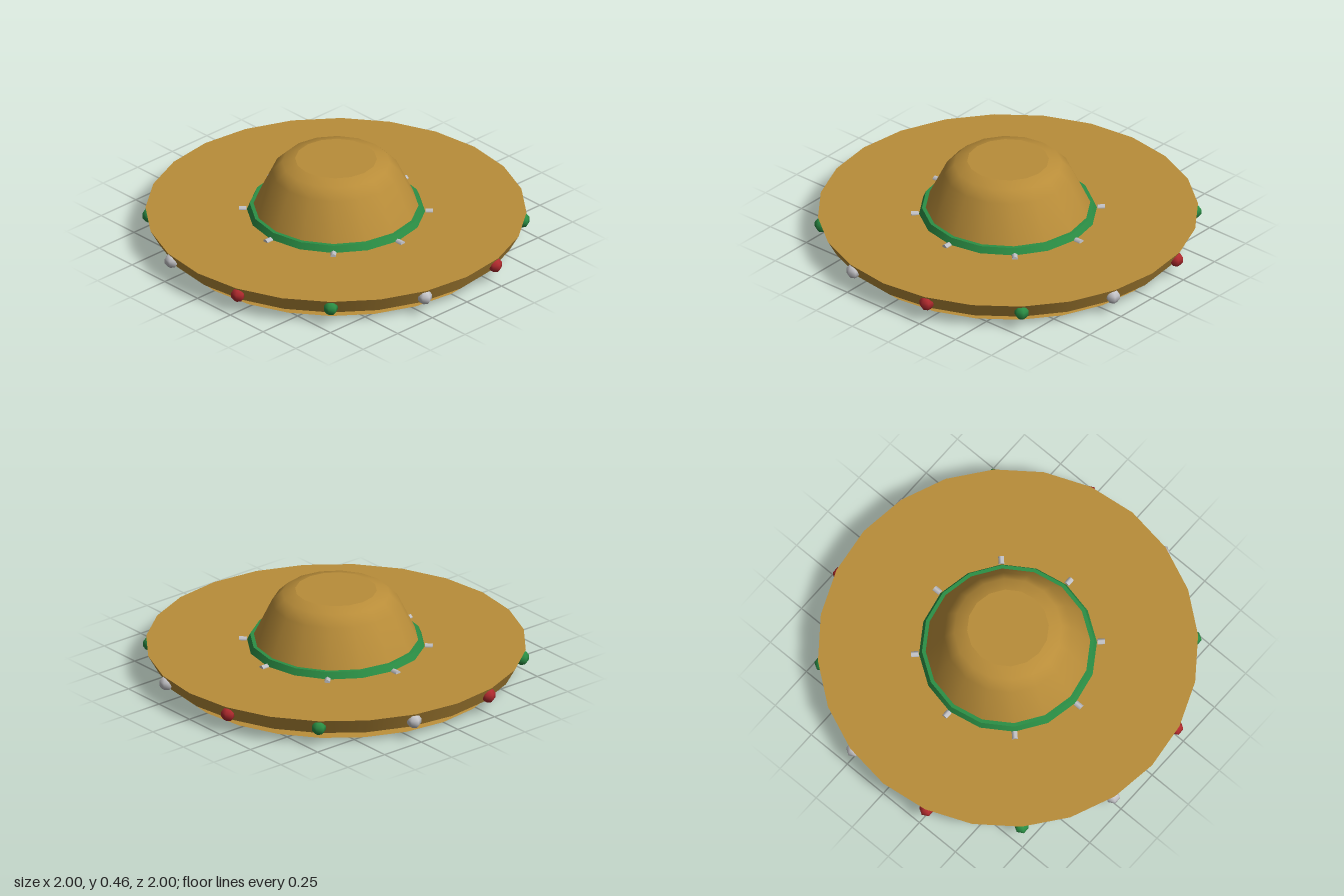
import * as THREE from 'three';

const paint = (name, color) => {
  const m = new THREE.MeshStandardMaterial({ color });
  m.name = name;
  return m;
};

export function createModel() {
  const hat = new THREE.Group();
  hat.name = 'hat';
  const straw = paint('straw gold', 0xb98d39);
  const green = paint('green', 0x2b8f45);
  const red = paint('red', 0xb02a2e);
  const silver = paint('silver', 0xc6c6ca);

  const add = (name, geometry, material, y = 0) => {
    const mesh = new THREE.Mesh(geometry, material);
    mesh.name = name;
    mesh.position.y = y;
    hat.add(mesh);
    return mesh;
  };

  // Shallow base under the brim
  add('base', new THREE.CylinderGeometry(0.5, 0.88, 0.06, 24), straw, 0.03);

  // Wide brim, tapering slightly downwards
  add('brim', new THREE.CylinderGeometry(1, 0.95, 0.09, 24), straw, 0.105);

  // Crown: smooth wall with a flat top
  const profile = [[0.45, 0.145], [0.433, 0.185], [0.337, 0.385], [0.283, 0.438], [0.215, 0.458]];
  add('crown', new THREE.LatheGeometry(profile.map(([r, y]) => new THREE.Vector2(r, y)), 16), straw);
  const top = new THREE.CircleGeometry(0.215, 16).rotateX(-Math.PI / 2);
  add('crownTop', top, straw, 0.458);

  // Band around the foot of the crown
  add('band', new THREE.CylinderGeometry(0.453, 0.468, 0.035, 16), green, 0.1675);

  // Small six-sided studs pointing outwards from the band
  const stud = new THREE.CylinderGeometry(0.017, 0.017, 0.04, 6).rotateX(-Math.PI / 2);
  for (let i = 0; i < 8; i++) {
    const a = (i * Math.PI) / 4;
    const mesh = add('stud', stud, silver, 0.15);
    mesh.position.x = 0.49 * Math.sin(a);
    mesh.position.z = 0.49 * Math.cos(a);
    mesh.rotation.y = a;
  }

  // Coloured beads around the rim
  const bead = new THREE.SphereGeometry(0.04, 6, 5).rotateY(Math.PI / 2);
  const colours = [silver, green, red];
  for (let i = 0; i < 12; i++) {
    const a = ((15 + 30 * i) * Math.PI) / 180;
    const mesh = add('bead', bead, colours[i % 3], 0.105);
    mesh.position.x = 0.98 * Math.cos(a);
    mesh.position.z = 0.98 * Math.sin(a);
  }

  return hat;
}
